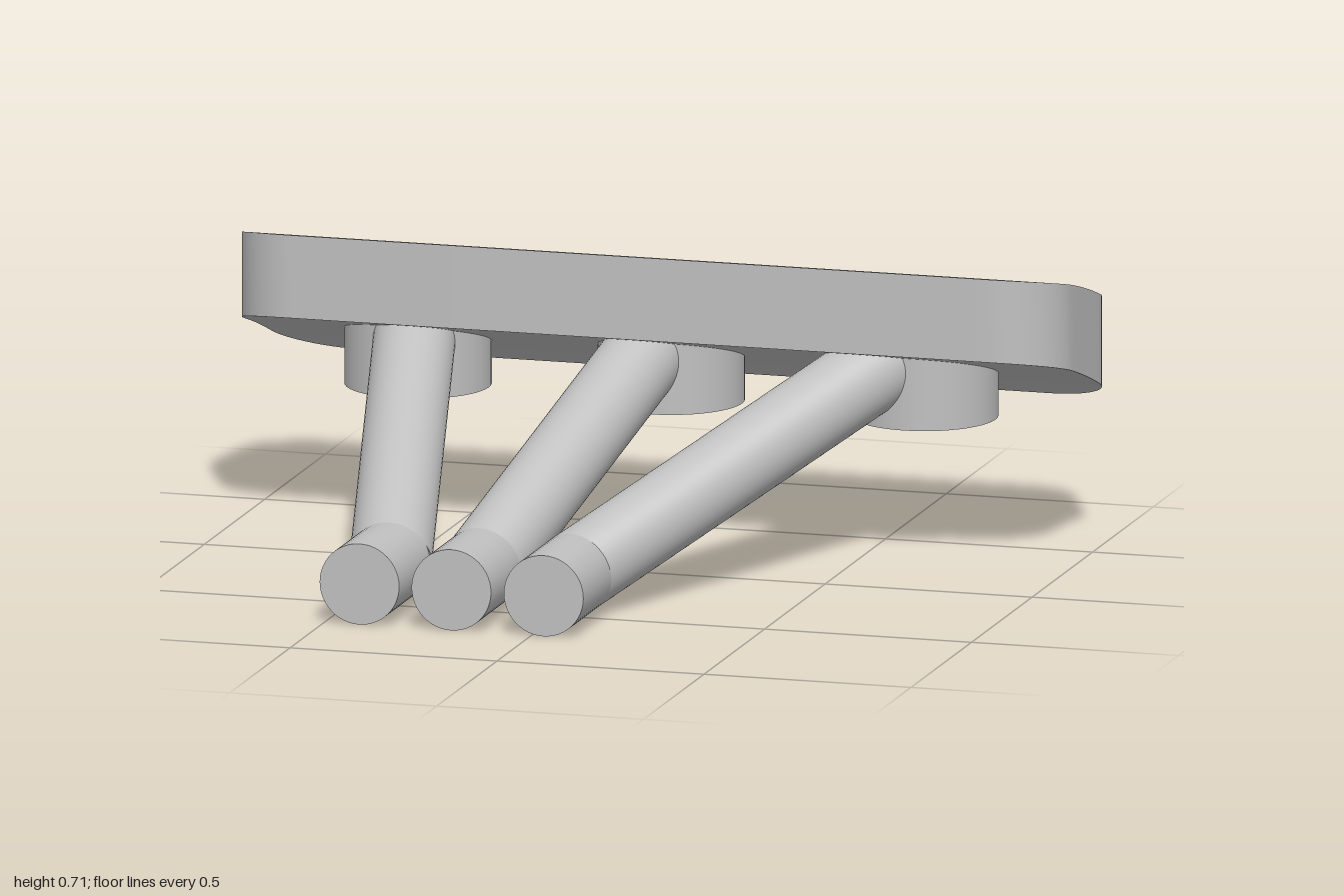
import * as THREE from 'three';
import { toCreasedNormals } from 'three/addons/utils/BufferGeometryUtils.js';

const grey = new THREE.MeshStandardMaterial({ color: 0xc0c0c0 });
grey.name = 'plain grey';

// Slab limits: front and back edge in z, half width in x, corner radius
const FRONT = -0.17, BACK = -0.72, HALF = 1, CORNER = 0.165;
const PIPE_RADIUS = 0.096;

// Rounded slab with a bowed top and underside, made of strips running across x
function slabGeometry() {
  const stations = []; // [z, half width] from front to back
  const n = 12;
  for (let i = 0; i <= n; i++) {
    const a = (i / n) * Math.PI / 2;
    stations.push([FRONT - CORNER * (1 - Math.cos(a)), HALF - CORNER * (1 - Math.sin(a))]);
  }
  for (let i = 1; i < 5; i++) {
    stations.push([THREE.MathUtils.lerp(FRONT - CORNER, BACK + CORNER, i / 5), HALF]);
  }
  for (let i = n; i >= 0; i--) {
    const a = (i / n) * Math.PI / 2;
    stations.push([BACK + CORNER * (1 - Math.cos(a)), HALF - CORNER * (1 - Math.sin(a))]);
  }

  const positions = [], index = [];
  for (const [z, w] of stations) {
    const t = (FRONT - z) / (FRONT - BACK);
    const top = 0.71 - 0.11 * t - 0.058 * t * t;
    const bottom = top - 0.197 - 0.023 * t;
    positions.push(-w, bottom, z, w, bottom, z, w, top, z, -w, top, z);
  }
  const last = (stations.length - 1) * 4;
  for (let s = 0; s < last; s += 4) {
    for (let k = 0; k < 4; k++) {
      const a = s + k, b = s + (k + 1) % 4;
      index.push(a, a + 4, b, b, a + 4, b + 4);
    }
  }
  index.push(0, 1, 2, 0, 2, 3); // front face
  index.push(last, last + 2, last + 1, last, last + 3, last + 2); // back face

  const geometry = new THREE.BufferGeometry();
  geometry.setAttribute('position', new THREE.Float32BufferAttribute(positions, 3));
  geometry.setIndex(index);
  return toCreasedNormals(geometry, 0.6);
}

// Closed cylinder between two points
function rod(name, from, to, radius) {
  const axis = to.clone().sub(from);
  const mesh = new THREE.Mesh(new THREE.CylinderGeometry(radius, radius, axis.length(), 48), grey);
  mesh.name = name;
  mesh.position.copy(from).addScaledVector(axis, 0.5);
  mesh.quaternion.setFromUnitVectors(new THREE.Vector3(0, 1, 0), axis.normalize());
  return mesh;
}

export function createModel() {
  const group = new THREE.Group();
  group.name = 'slabOnPipes';

  const slab = new THREE.Mesh(slabGeometry(), grey);
  slab.name = 'slab';
  group.add(slab);

  // Three branches: front pipe x, boss x
  const branches = [[-0.415, -0.612], [-0.193, 0], [0.03, 0.612]];
  for (const [pipeX, bossX] of branches) {
    const branch = new THREE.Group();
    branch.name = 'branch';
    const elbow = new THREE.Vector3(pipeX, 0.098, 0.46);
    const end = new THREE.Vector3(bossX, 0.505, -0.44);
    branch.add(
      rod('frontPipe', new THREE.Vector3(pipeX, 0.098, 0.718), elbow, PIPE_RADIUS),
      rod('slantedPipe', elbow, end, PIPE_RADIUS),
      rod('boss', new THREE.Vector3(bossX, 0.316, -0.44), new THREE.Vector3(bossX, 0.51, -0.44), 0.171),
    );
    group.add(branch);
  }
  return group;
}
